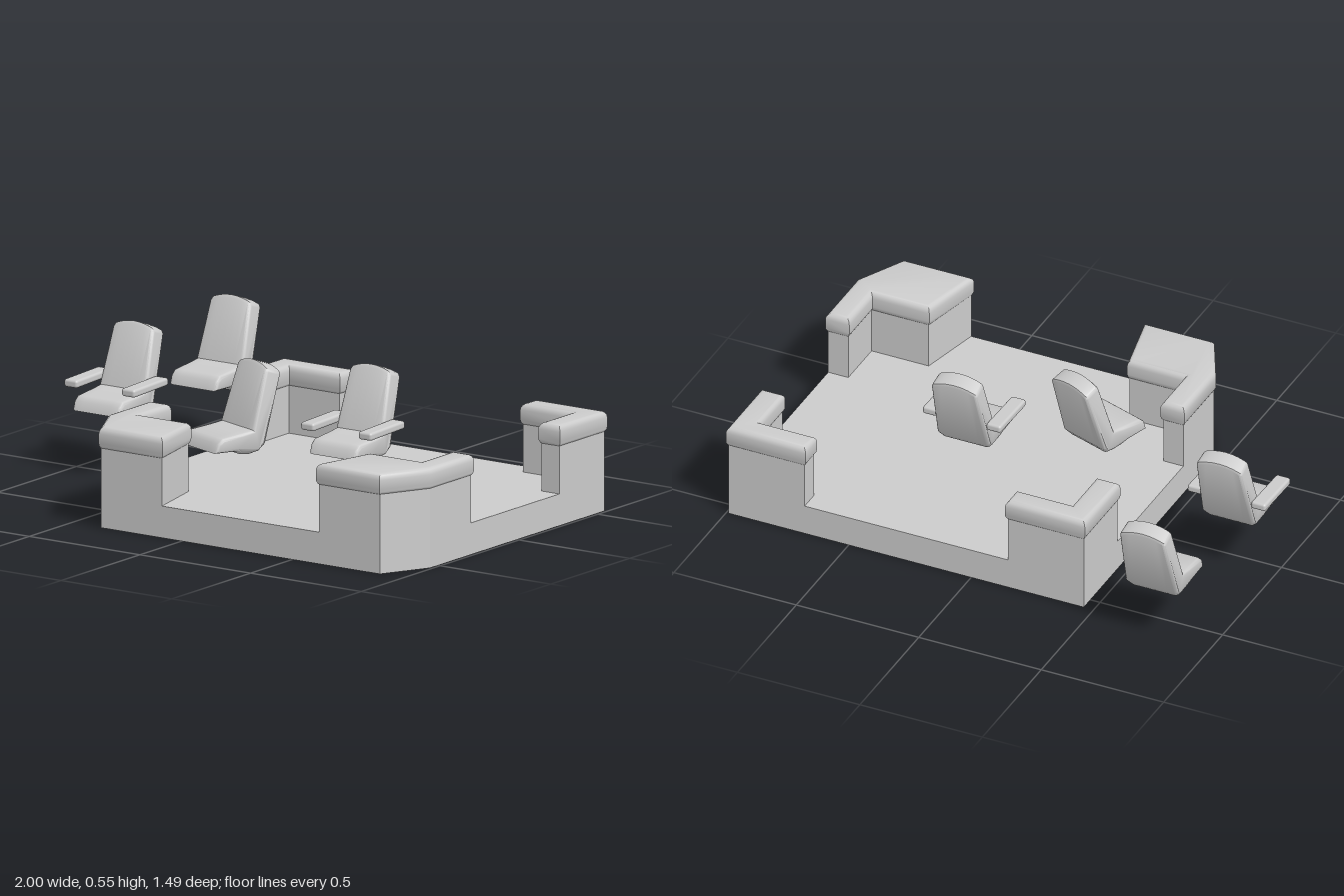
import * as THREE from 'three';
import { mergeGeometries, toCreasedNormals } from 'three/addons/utils/BufferGeometryUtils.js';
import { RoundedBoxGeometry } from 'three/addons/geometries/RoundedBoxGeometry.js';

const solid = new THREE.MeshStandardMaterial({ color: 0xcccccc });
const sheet = new THREE.MeshStandardMaterial({ color: 0xcccccc, side: THREE.DoubleSide });
const FLOOR = 0.12, POST = 0.308, MID_X = 0.265;

function mesh(name, geometry, material = solid) {
  const m = new THREE.Mesh(geometry, material);
  m.name = name;
  return m;
}

// Plan outline given as [x, z] pairs, for shapes that are later laid flat
const planShape = (pts) => new THREE.Shape(pts.map(([x, z]) => new THREE.Vector2(x, -z)));

// Upright sheet following a plan path between two heights
function wall(path, y0, y1) {
  const pos = [];
  for (let i = 0; i < path.length - 1; i++) {
    const [ax, az] = path[i], [bx, bz] = path[i + 1];
    pos.push(ax, y0, az, bx, y0, bz, bx, y1, bz, ax, y0, az, bx, y1, bz, ax, y1, az);
  }
  const g = new THREE.BufferGeometry();
  g.setAttribute('position', new THREE.Float32BufferAttribute(pos, 3));
  g.computeVertexNormals();
  return g;
}

// Corner posts: outer path and inner path share their two end points
const backCorner = {
  name: 'back',
  outer: [[-0.15, -0.555], [-0.46, -0.555], [-0.46, -0.27]],
  inner: [[-0.15, -0.555], [-0.15, -0.475], [-0.378, -0.475], [-0.378, -0.27], [-0.46, -0.27]],
};
const frontCorner = {
  name: 'front',
  outer: [[-0.46, 0.29], [-0.46, 0.55], [-0.365, 0.735], [-0.09, 0.735]],
  inner: [[-0.46, 0.29], [-0.378, 0.29], [-0.378, 0.488], [-0.145, 0.488], [-0.09, 0.735]],
};
const flip = (path) => path.map(([x, z]) => [2 * MID_X - x, z]).reverse();
const mirrored = (c) => ({ name: c.name + 'Left', outer: flip(c.outer), inner: flip(c.inner) });
const named = (c) => ({ ...c, name: c.name + 'Right' });

function createPlatform() {
  const group = new THREE.Group();
  group.name = 'platform';
  const corners = [named(backCorner), named(frontCorner), mirrored(frontCorner), mirrored(backCorner)];

  // Floor with the post corners cut out, open underneath
  const floor = new THREE.ShapeGeometry(planShape(corners.flatMap((c) => c.inner)));
  floor.rotateX(-Math.PI / 2).translate(0, FLOOR, 0);
  group.add(mesh('floor', floor, sheet));

  // Low walls joining neighbouring posts
  const lowWalls = corners.map((c, i) =>
    wall([c.outer.at(-1), corners[(i + 1) % 4].outer[0]], 0, FLOOR));
  group.add(mesh('lowWalls', mergeGeometries(lowWalls), sheet));

  for (const c of corners) {
    // Hollow post
    const post = mergeGeometries([
      wall(c.outer, 0, POST),
      wall([...c.inner].reverse(), FLOOR, POST),
    ]);
    group.add(mesh(c.name + 'Post', post, sheet));

    // Padded cap with rounded edges, slightly wider than the post
    const outline = [...c.outer, ...c.inner.slice(1, -1).reverse()];
    const cap = new THREE.ExtrudeGeometry(planShape(outline), {
      depth: 0.035, bevelThickness: 0.025, bevelSize: 0.022, bevelOffset: -0.014, bevelSegments: 4,
    });
    cap.rotateX(-Math.PI / 2).translate(0, 0.32, 0);
    group.add(mesh(c.name + 'Cap', toCreasedNormals(cap, 0.7)));
  }
  return group;
}

// Side profile of the bucket seat as [z, y]
const seatProfile = [
  [0.152, 0.24], [0.142, 0.275], [0.122, 0.293], [0.03, 0.301], [-0.018, 0.307],
  [-0.083, 0.536], [-0.092, 0.546], [-0.148, 0.527], [-0.151, 0.517],
  [-0.073, 0.25], [-0.05, 0.223], [-0.01, 0.214], [0.03, 0.22], [0.055, 0.236],
];

function seatGeometry() {
  const shape = new THREE.Shape(seatProfile.map(([z, y]) => new THREE.Vector2(z, y)));
  const g = new THREE.ExtrudeGeometry(shape, {
    depth: 0.186, steps: 6, bevelThickness: 0.014, bevelSize: 0.012, bevelOffset: -0.012, bevelSegments: 3,
  });
  g.translate(0, 0, -0.093).rotateY(-Math.PI / 2);
  // Narrow the back towards an arched top and taper the underside
  const p = g.attributes.position;
  for (let i = 0; i < p.count; i++) {
    const x = p.getX(i), y = p.getY(i);
    const rise = Math.max(0, (y - 0.31) / 0.235);
    const drop = Math.max(0, (0.24 - y) / 0.025);
    p.setX(i, x * (1 - 0.16 * rise * rise - 0.16 * drop));
    p.setY(i, y - 0.018 * rise * (x / 0.1) ** 2);
  }
  return toCreasedNormals(g, 0.7);
}

function createSeat(name, geometry, x, z, turn, arms) {
  const seat = new THREE.Group();
  seat.name = name;
  seat.add(mesh('seatShell', geometry));
  if (arms) {
    for (const side of [-1, 1]) {
      const arm = mesh(side > 0 ? 'leftArmrest' : 'rightArmrest',
        new RoundedBoxGeometry(0.06, 0.03, 0.22, 2, 0.01));
      arm.position.set(side * 0.13, 0.336, 0.022);
      arm.rotation.x = 0.03;
      seat.add(arm);
    }
  }
  seat.position.set(x, 0, z);
  seat.rotation.y = turn;
  return seat;
}

export function createModel() {
  const model = new THREE.Group();
  model.name = 'seatingDeck';
  model.add(createPlatform());
  const shell = seatGeometry();
  model.add(
    createSeat('deckArmchair', shell, 0.265, 0, 0, true),
    createSeat('deckTurnedSeat', shell, -0.16, 0.185, -0.33, false),
    createSeat('sideArmchair', shell, -0.84, -0.05, 0, true),
    createSeat('sideSeat', shell, -0.79, -0.595, 0, false),
  );
  return model;
}
